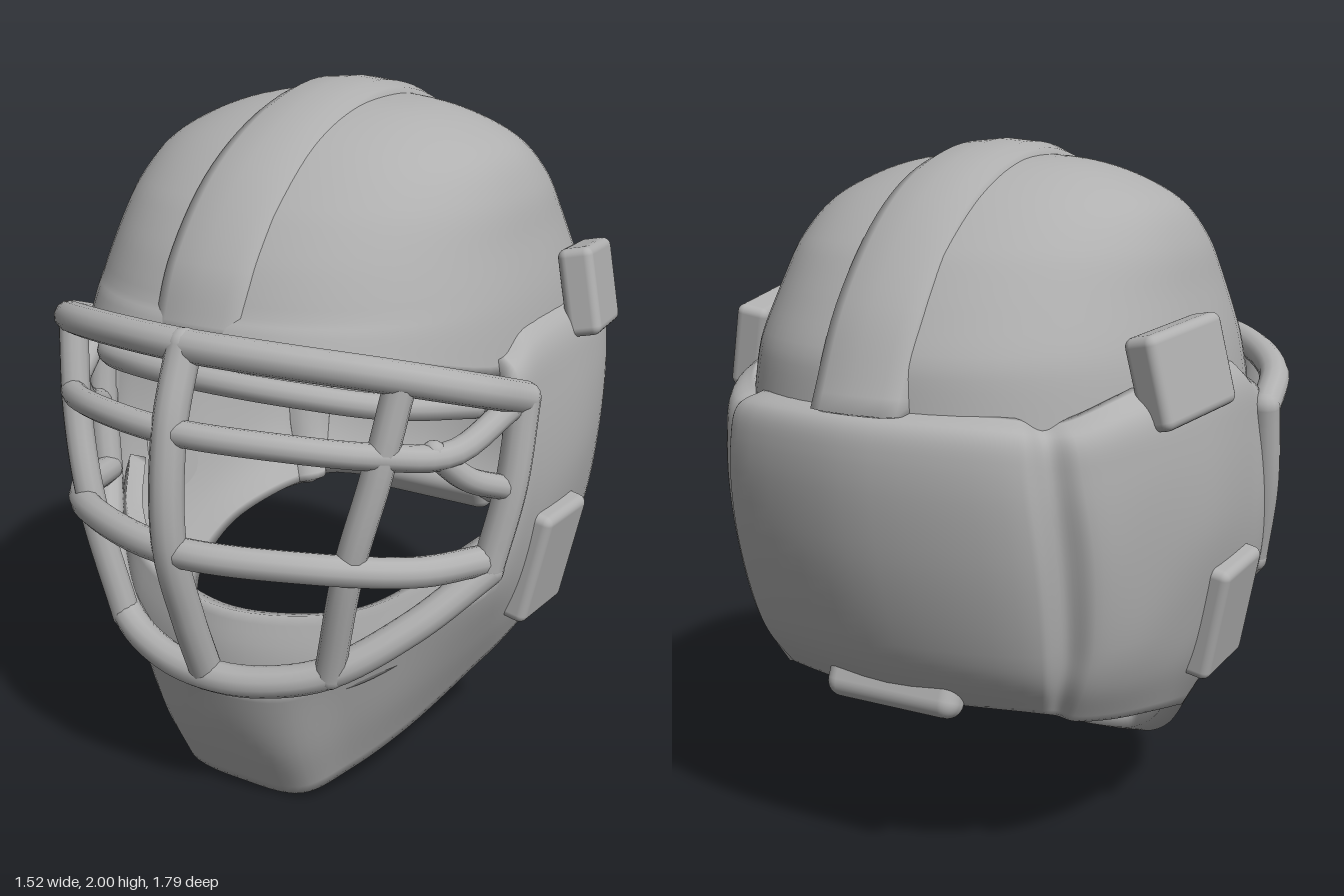
import * as THREE from 'three';
import { RoundedBoxGeometry } from 'three/addons/geometries/RoundedBoxGeometry.js';

const grey = new THREE.MeshStandardMaterial({ color: 0xb0b0b0 });
grey.name = 'matte grey';

const spline = (pts, closed = false) =>
  new THREE.CatmullRomCurve3(pts.map((p) => (p.isVector3 ? p : new THREE.Vector3(...p))), closed);
const flip = (p) => [-p[0], p[1], p[2]];
// Midpoint of two points, widened away from the vertical axis and raised
const between = (a, b, widen, raise) => [0, 1, 2].map((i) => ((a[i] + b[i]) / 2) * (i === 1 ? 1 : widen) + (i === 1 ? raise : 0));

// Thick-walled sheet from a surface f(u, v): outer skin, inner skin and rims.
// keep(u, v) can cut cells out of the sheet.
function shell(f, nu, nv, thick, closed = false, keep = () => true) {
  const w = closed ? nu : nu + 1, count = w * (nv + 1), pos = [], skin = [];
  for (let j = 0; j <= nv; j++) for (let i = 0; i < w; i++) pos.push(...f(i / nu, j / nv).toArray());
  for (let j = 0; j < nv; j++) for (let i = 0; i < nu; i++) {
    if (!keep((i + 0.5) / nu, (j + 0.5) / nv)) continue;
    const a = j * w + i, b = j * w + ((i + 1) % w), c = a + w, d = b + w;
    skin.push(a, b, d, a, d, c);
  }
  const outer = new THREE.BufferGeometry();
  outer.setAttribute('position', new THREE.Float32BufferAttribute(pos, 3));
  outer.setIndex(skin);
  outer.computeVertexNormals();
  const n = outer.attributes.normal.array;
  const all = pos.concat(pos.map((p, k) => p - n[k] * thick));
  const index = skin.slice(), edges = new Set();
  for (let k = 0; k < skin.length; k += 3) {
    const t = skin.slice(k, k + 3);
    index.push(t[0] + count, t[2] + count, t[1] + count);
    t.forEach((a, m) => edges.add(a * count + t[(m + 1) % 3]));
  }
  // rims along every open edge
  for (const e of edges) {
    const a = Math.floor(e / count), b = e % count;
    if (!edges.has(b * count + a)) index.push(b, a, a + count, b, a + count, b + count);
  }
  const geo = new THREE.BufferGeometry();
  geo.setAttribute('position', new THREE.Float32BufferAttribute(all, 3));
  geo.setIndex(index);
  geo.computeVertexNormals();
  return geo;
}

// Smooth surface through a row of upright curves
function loft(columns, closed = false) {
  const curves = columns.map((c) => spline(c));
  const rows = new Map();
  return (u, v) => {
    if (!rows.has(v)) rows.set(v, spline(curves.map((c) => c.getPoint(v)), closed));
    return rows.get(v).getPoint(u);
  };
}

export function createModel() {
  const group = new THREE.Group();
  const add = (name, geo) => {
    const mesh = new THREE.Mesh(geo, grey);
    mesh.name = name;
    group.add(mesh);
    return mesh;
  };

  // Dome: rounded oval slices, [height, half width, front z, back z]
  const slices = [
    [1.28, 0.665, 0.74, -0.81], [1.45, 0.64, 0.71, -0.785], [1.6, 0.6, 0.635, -0.7],
    [1.72, 0.565, 0.54, -0.61], [1.82, 0.505, 0.42, -0.49], [1.89, 0.4, 0.3, -0.37],
    [1.94, 0.26, 0.15, -0.23], [1.965, 0, -0.05, -0.05],
  ];
  const sizeCurve = spline(slices.map((s) => [s[0], s[1], 0]));
  const depthCurve = spline(slices.map((s) => [s[2], s[3], 0]));
  const oval = (t) => Math.sign(t) * Math.abs(t) ** (2 / 2.3);
  add('dome', shell((u, v) => {
    const a = (u * 2 - 1) * Math.PI, s = sizeCurve.getPoint(v), d = depthCurve.getPoint(v);
    const mid = -0.05, c = oval(Math.cos(a));
    const z = mid + c * (c > 0 ? d.x - mid : mid - d.y);
    // the brow edge rises towards the front
    const lift = 0.13 * THREE.MathUtils.smoothstep(z, 0.15, 0.72) * Math.max(0, 1 - v * 6);
    return new THREE.Vector3(oval(Math.sin(a)) * s.y, s.x + lift, z);
  }, 72, 40, 0.05, true));

  // Raised strip over the crown
  const crest = spline([
    [0, 1.43, 0.735], [0, 1.6, 0.665], [0, 1.8, 0.49], [0, 1.94, 0.24], [0, 2, -0.04],
    [0, 1.95, -0.32], [0, 1.83, -0.53], [0, 1.6, -0.735], [0, 1.34, -0.86],
  ]);
  const across = [[-0.15, 0.08], [-0.13, 0.026], [-0.09, 0.008], [0, 0], [0.09, 0.008], [0.13, 0.026], [0.15, 0.08]];
  add('crownStrip', shell((u, v) => {
    const p = crest.getPoint(v), [x, sink] = across[Math.round(u * 6)];
    p.addScaledVector(new THREE.Vector3(0, 1.3, -0.05).sub(p).normalize(), sink);
    p.x = x;
    return p;
  }, 6, 48, 0.02));

  // Jaw columns from the middle of the chin outwards; their upper part is cut away for the face
  const jaw = [
    [[0, 0, 0.53], [0, 0.2, 0.625], [0, 0.41, 0.7]],
    [[0.2, 0.02, 0.52], [0.21, 0.2, 0.605], [0.22, 0.43, 0.67]],
    [[0.3, 0.08, 0.42], [0.34, 0.27, 0.5], [0.36, 0.49, 0.59]],
    [[0.41, 0.18, 0.28], [0.46, 0.36, 0.38], [0.51, 0.59, 0.46]],
  ].map(([low, mid, top]) => [low, mid, top, ...[1, 2, 3, 4].map((k) => top.map((t, i) => t + k * (t - mid[i])))]);
  // Side plate, groove and back pad columns: hem, waist, chest, shoulder and tucked-in top
  const sides = [
    [[0.53, 0.33, 0.09], [0.68, 0.72, 0.28], [0.71, 0.95, 0.26], [0.7, 1.18, 0.24], [0.62, 1.34, 0.22]],
    [[0.56, 0.37, 0], [0.69, 0.72, 0.12], [0.72, 0.95, 0.1], [0.71, 1.2, 0.1], [0.62, 1.41, 0.1]],
    [[0.58, 0.43, -0.2], [0.68, 0.72, -0.2], [0.72, 0.97, -0.2], [0.71, 1.22, -0.2], [0.61, 1.42, -0.2]],
    [[0.53, 0.47, -0.42], [0.63, 0.72, -0.46], [0.66, 0.97, -0.47], [0.66, 1.2, -0.48], [0.57, 1.38, -0.48]],
    [[0.47, 0.49, -0.52], [0.56, 0.72, -0.58], [0.58, 0.97, -0.62], [0.56, 1.18, -0.65], [0.48, 1.33, -0.61]],
    [[0.43, 0.5, -0.53], [0.49, 0.72, -0.6], [0.5, 0.97, -0.65], [0.49, 1.18, -0.68], [0.42, 1.32, -0.63]],
    [[0.41, 0.52, -0.58], [0.46, 0.72, -0.68], [0.47, 0.97, -0.74], [0.45, 1.2, -0.77], [0.39, 1.34, -0.69]],
    [[0, 0.52, -0.66], [0, 0.72, -0.79], [0, 0.97, -0.865], [0, 1.22, -0.89], [0, 1.35, -0.79]],
  ].map(([hem, waist, chest, shoulder, top]) =>
    [hem, between(hem, waist, 1.02, 0), waist, chest, shoulder, between(shoulder, top, 1.03, 0.035), top]);
  const wrap = [...jaw, ...sides];
  const ring = [...wrap, ...wrap.slice(1, -1).reverse().map((col) => col.map(flip))];
  const faceEdge = jaw.length / ring.length;
  add('chinSidesAndBackPad', shell(loft(ring, true), ring.length * 6, 36, 0.05, true,
    (u, v) => v < 1 / 3 || (u > faceEdge && u < 1 - faceEdge)));

  // Padded lip standing inside the chin guard
  const lip = [
    [[0.64, 0.66, 0.26], [0.64, 0.74, 0.25], [0.62, 0.82, 0.24]],
    [[0.49, 0.5, 0.43], [0.51, 0.62, 0.42], [0.51, 0.72, 0.4]],
    [[0.34, 0.42, 0.57], [0.35, 0.53, 0.55], [0.34, 0.64, 0.52]],
  ];
  const lipFront = [[0, 0.36, 0.66], [0, 0.5, 0.65], [0, 0.61, 0.62]];
  add('chinLip', shell(loft([...lip.map((col) => col.map(flip)), lipFront, ...[...lip].reverse()]), 48, 8, 0.05));

  // Cage bars with rounded ends
  const bar = (name, pts, r = 0.042) => {
    add(name, new THREE.TubeGeometry(spline(pts), 48, r, 12));
    for (const p of [pts[0], pts[pts.length - 1]]) add(name + 'End', new THREE.SphereGeometry(r, 12, 8).translate(...p));
  };
  // Bars that cross the face are listed from the left side to the middle
  const crossBar = (name, pts, r) => bar(name, [...pts, ...pts.slice(0, -1).map(flip).reverse()], r);
  crossBar('cageTopBar', [[0.71, 1.24, 0.22], [0.66, 1.31, 0.42], [0.5, 1.37, 0.6], [0.27, 1.4, 0.71], [0, 1.41, 0.755]], 0.045);
  crossBar('cageEyeBar', [[0.69, 1.22, 0.27], [0.62, 1.14, 0.46], [0.5, 1.16, 0.62], [0.3, 1.19, 0.76], [0, 1.2, 0.83]], 0.036);
  crossBar('cageMouthBar', [[0.65, 0.79, 0.31], [0.56, 0.82, 0.53], [0.35, 0.86, 0.73], [0, 0.87, 0.84]]);
  crossBar('cageBottomBar', [[0.66, 0.76, 0.3], [0.52, 0.62, 0.47], [0.34, 0.5, 0.62], [0.16, 0.455, 0.69], [0, 0.445, 0.71]], 0.045);
  crossBar('innerBrowPad', [[0.6, 1.22, 0.3], [0.46, 1.25, 0.5], [0.25, 1.28, 0.62], [0, 1.29, 0.66]], 0.035);
  bar('cageCentreBar', [[0, 1.41, 0.755], [0, 1.2, 0.83], [0, 0.9, 0.85], [0, 0.65, 0.78], [0, 0.44, 0.7]], 0.047);

  for (const s of [1, -1]) {
    const side = (pts) => (s > 0 ? pts : pts.map(flip));
    bar('cageSideBar', side([[0.71, 1.24, 0.22], [0.7, 1.0, 0.26], [0.66, 0.77, 0.3]]), 0.045);
    bar('cageUprightBar', side([[0.53, 1.35, 0.57], [0.49, 1.1, 0.62], [0.43, 0.85, 0.65], [0.35, 0.5, 0.62]]));
    bar('cageTempleLoop', side([[0.59, 1.15, 0.5], [0.64, 1.06, 0.41], [0.69, 1.0, 0.28]]), 0.034);

    // Strap clips
    const upper = add('upperClip', new RoundedBoxGeometry(0.1, 0.25, 0.32, 3, 0.025));
    upper.position.set(s * 0.665, 1.42, -0.3);
    upper.rotation.set(-0.12, s * 0.2, s * 0.22);
    const lower = add('lowerClip', new RoundedBoxGeometry(0.1, 0.34, 0.27, 3, 0.025));
    lower.position.set(s * 0.678, 0.69, -0.01);
    lower.rotation.set(-0.06, 0, s * -0.2);
  }

  // Small roll under the back pad
  const roll = add('neckRoll', new RoundedBoxGeometry(0.42, 0.12, 0.1, 4, 0.045));
  roll.position.set(0, 0.55, -0.66);
  roll.rotation.x = 0.4;

  return group;
}
